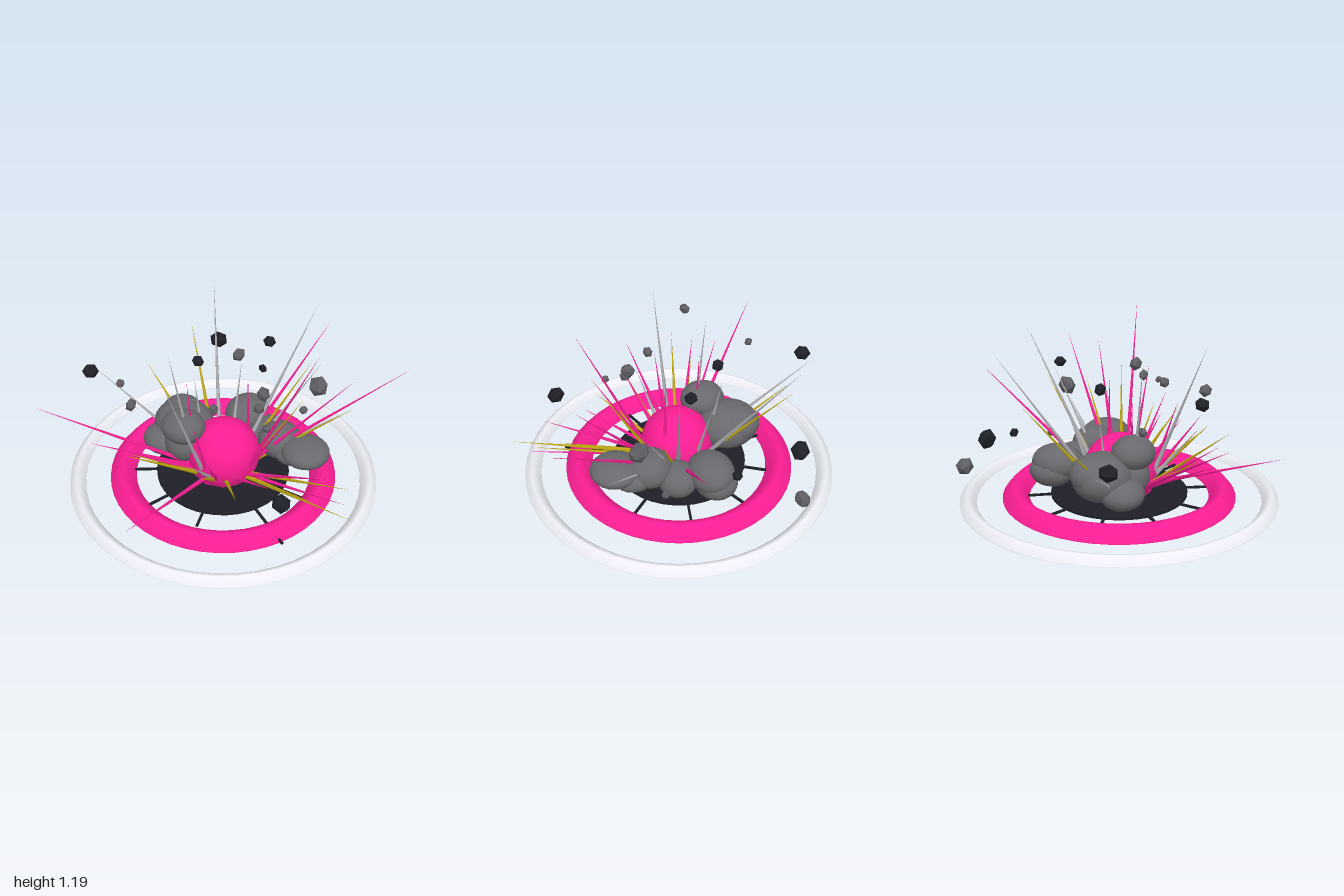
import * as THREE from 'three';

const PINK = 0xfb1e94, SILVER = 0xececf4, OLIVE = 0xc0a810, STEEL = 0xaeaeb2;
const DARK = 0x1e2027, SMOKE = 0x6a6a6e, STONE = 0x5e5e63;

export function createModel() {
  const root = new THREE.Group();
  const cache = {};
  const mat = (color, flatShading = false, side = THREE.FrontSide) => {
    const key = `${color}-${flatShading}-${side}`;
    return (cache[key] ??= new THREE.MeshStandardMaterial({ color, flatShading, side }));
  };
  const add = (name, geometry, material, parent = root) => {
    const mesh = new THREE.Mesh(geometry, material);
    mesh.name = name;
    parent.add(mesh);
    return mesh;
  };
  const group = (name) => {
    const g = new THREE.Group();
    g.name = name;
    root.add(g);
    return g;
  };

  // Shock rings: bevelled shells, open underneath
  const half = [[1, 0], [0.98, 0.12], [0.55, 0.65], [0.15, 1]];
  const section = [...half, ...half.map(([u, v]) => [-u, v]).reverse()];
  const ring = (name, radius, halfWidth, height, color) => {
    const profile = section.map(([u, v]) => new THREE.Vector2(radius + halfWidth * u, height * v));
    const m = add(name, new THREE.LatheGeometry(profile, 48), mat(color, false, THREE.DoubleSide));
    m.position.set(0, 0.095, -0.015);
  };
  ring('outerRing', 0.919, 0.05, 0.049, SILVER);
  ring('innerRing', 0.632, 0.082, 0.08, PINK);

  // Scorched disc with thin radial cracks: angle and outer reach
  const disc = add('scorchDisc', new THREE.CylinderGeometry(0.42, 0.42, 0.016, 40), mat(DARK));
  disc.position.set(0, 0.108, -0.015);
  const cracks = group('cracks');
  cracks.position.set(0, 0.112, -0.015);
  for (const [deg, reach] of [
    [-2, 0.58], [30, 0.74], [74, 0.54], [110, 0.56], [145, 0.6],
    [180, 0.56], [215, 0.62], [249, 0.6], [285, 0.56], [320, 0.62],
  ]) {
    const a = THREE.MathUtils.degToRad(deg);
    const len = reach - 0.3;
    const crack = add('crack', new THREE.BoxGeometry(len, 0.012, 0.014), mat(DARK), cracks);
    crack.position.set(Math.cos(a) * (0.3 + len / 2), 0, Math.sin(a) * (0.3 + len / 2));
    crack.rotation.y = -a;
  }

  // Core: smooth ball above, faceted bowl below
  add('core', new THREE.SphereGeometry(0.225, 32, 20), mat(PINK)).position.set(0.01, 0.248, -0.01);
  const bowl = [[0, 0], [0.125, 0.045], [0.18, 0.1], [0.2, 0.2]].map((p) => new THREE.Vector2(...p));
  add('coreBase', new THREE.LatheGeometry(bowl, 10), mat(PINK, true));

  // Smoke puffs: centre and half sizes
  const smoke = group('smoke');
  for (const [x, y, z, rx, ry, rz] of [
    [-0.315, 0.32, -0.05, 0.2, 0.14, 0.18], [-0.21, 0.44, 0.11, 0.14, 0.1, 0.13],
    [-0.38, 0.25, 0.08, 0.14, 0.09, 0.13], [-0.36, 0.35, -0.1, 0.14, 0.11, 0.13],
    [-0.22, 0.3, 0.08, 0.13, 0.13, 0.13],
    [-0.05, 0.29, -0.39, 0.14, 0.11, 0.16], [-0.07, 0.24, -0.42, 0.13, 0.1, 0.14],
    [0.14, 0.25, -0.33, 0.12, 0.1, 0.13], [0.28, 0.31, -0.24, 0.14, 0.11, 0.14],
    [0.48, 0.33, -0.2, 0.15, 0.075, 0.15], [0.38, 0.28, -0.23, 0.13, 0.08, 0.13],
  ]) {
    const puff = add('smokePuff', new THREE.SphereGeometry(1, 20, 14), mat(SMOKE), smoke);
    puff.position.set(x, y, z);
    puff.scale.set(rx, ry, rz);
  }

  // Spikes: thin cones from a circle around the core to each tip
  const spikes = group('spikes');
  const up = new THREE.Vector3(0, 1, 0);
  const spike = (color, x, y, z) => {
    const base = new THREE.Vector3(x, 0, z).setLength(0.17).setY(0.17);
    const dir = new THREE.Vector3(x, y, z).sub(base);
    const len = dir.length() + 0.02;
    dir.normalize();
    const m = add('spike', new THREE.ConeGeometry(0.016, len, 6), mat(color), spikes);
    m.position.copy(base).addScaledVector(dir, len / 2);
    m.quaternion.setFromUnitVectors(up, dir);
  };
  const tips = [
    [PINK, [
      [0.6, 1.17, -0.02], [0.92, 0.88, -0.57], [0.7, 0.88, -0.3], [0.235, 0.78, -0.94],
      [-0.81, 0.7, 0.69], [-0.52, 0.5, 0.59], [0, 0.38, 0.95], [0.78, 0.52, 0.15],
      [0.88, 0.35, 0.11], [0.5, 0.42, 0.29], [-0.18, 0.76, 0.1], [0.12, 0.8, -0.1],
      [0.5, 0.79, 0.08], [0.02, 0.68, 0.33], [0.2, 0.55, 0.45], [-0.35, 0.55, 0.6],
    ]],
    [STEEL, [
      [-0.45, 1.03, -0.61], [-0.04, 1.03, 0.5], [0.27, 1.07, -0.67], [-0.25, 0.96, 0.17],
      [-0.95, 0.57, 0.05], [0.39, 0.76, -0.52], [-0.07, 0.7, -0.34], [0.6, 0.5, -0.48],
      [-0.25, 0.65, -0.08], [0.1, 0.5, 0.45],
    ]],
    [OLIVE, [
      [0.97, 0.37, 0.22], [0.87, 0.42, 0.06], [0.7, 0.32, 0.16], [0.48, 0.775, -0.1],
      [-0.52, 0.775, -0.45], [-0.67, 0.59, -0.15], [-0.22, 0.59, 0.65], [0.38, 0.4, 0.45],
      [0.68, 0.62, -0.38], [0.31, 0.72, -0.54], [0.18, 0.5, 0.5], [-0.3, 0.45, 0.5],
    ]],
  ];
  for (const [color, list] of tips) for (const tip of list) spike(color, ...tip);

  // Flying debris: faceted chunks
  const debris = group('debris');
  [
    [-0.92, 0.59, 0.12, 0.054, DARK], [-0.46, 0.555, -0.68, 0.062, DARK],
    [-0.58, 0.695, 0.23, 0.029, STONE], [-0.26, 0.85, 0.52, 0.038, STONE],
    [-0.22, 0.81, -0.08, 0.04, DARK], [0.09, 0.885, -0.4, 0.04, DARK],
    [0.1, 0.785, 0.24, 0.034, STONE], [0.3, 0.84, 0.03, 0.045, STONE],
    [0.3, 0.77, 0.08, 0.036, STONE], [0.4, 0.72, 0.16, 0.025, STONE],
    [0.415, 0.645, -0.45, 0.066, STONE], [0.65, 0.49, 0.42, 0.057, DARK],
    [-0.4, 0.355, -0.85, 0.054, STONE], [0.29, 0.355, -0.53, 0.03, STONE],
    [-0.09, 0.47, -0.65, 0.032, DARK],
  ].forEach(([x, y, z, r, color], i) => {
    const chunk = add('debrisChunk', new THREE.IcosahedronGeometry(r, 0), mat(color, true), debris);
    chunk.position.set(x, y, z);
    chunk.rotation.set(i * 1.3, i * 2.1, i * 0.7);
    chunk.scale.y = 0.85;
  });

  return root;
}
